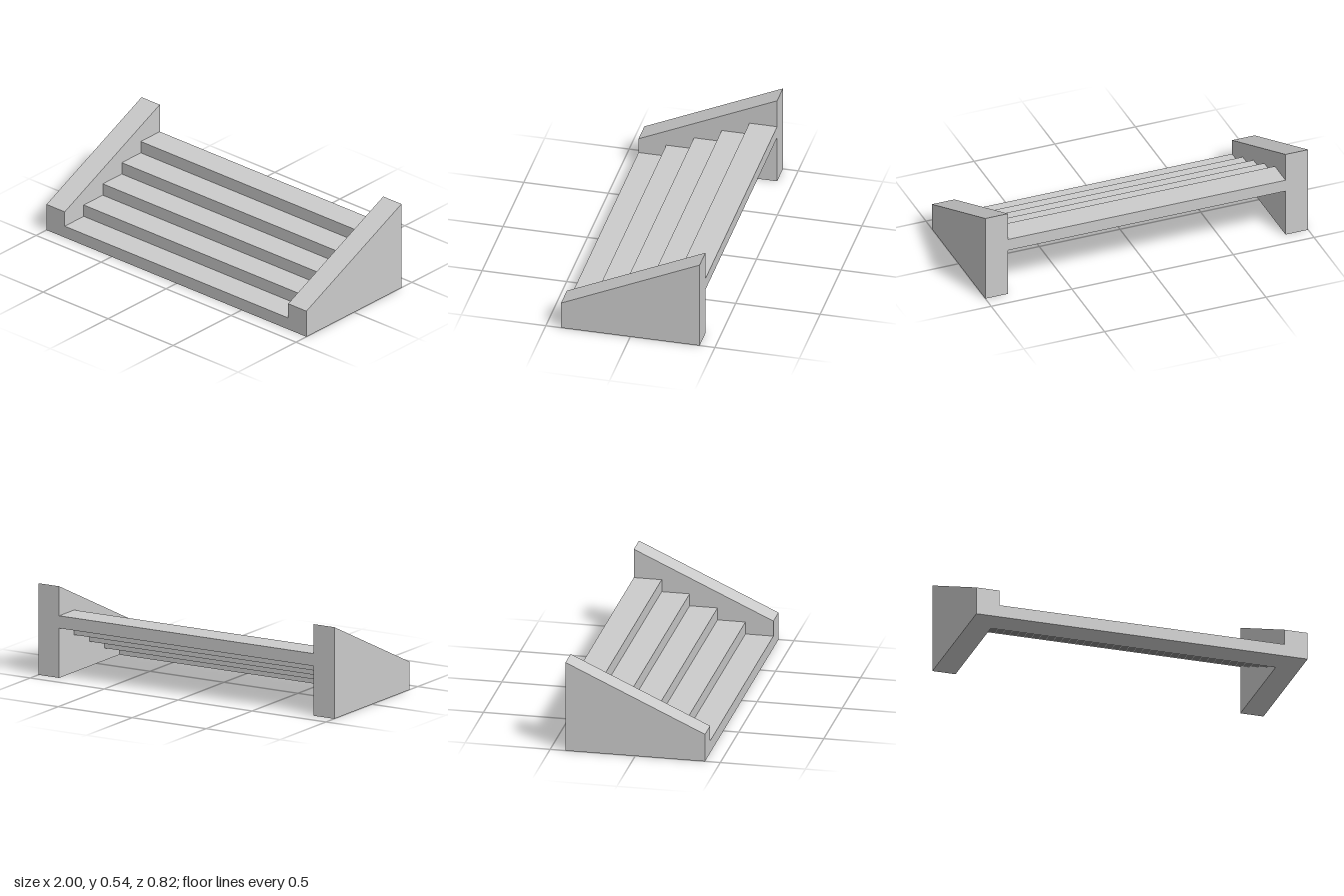
import * as THREE from 'three';

const material = new THREE.MeshStandardMaterial({ color: 0xcccccc, flatShading: true });

const STEPS = 5;
const RISE = 0.0735;
const HALF_DEPTH = 0.41;
const TREAD = (2 * HALF_DEPTH) / STEPS;
const INNER = 0.86; // half width between the side walls
const WALL = 0.14;

export function createModel() {
  const group = new THREE.Group();
  group.name = 'stairs';

  // Step slabs, each resting edge to edge on the one below, open underneath
  const stepGeometry = new THREE.BoxGeometry(2 * INNER, RISE, TREAD);
  for (let i = 0; i < STEPS; i++) {
    const step = new THREE.Mesh(stepGeometry, material);
    step.name = `step${i + 1}`;
    step.position.set(0, (i + 0.5) * RISE, HALF_DEPTH - (i + 0.5) * TREAD);
    group.add(step);
  }

  // Side walls with a sloping top; shape x runs toward the back
  const profile = new THREE.Shape([
    new THREE.Vector2(-HALF_DEPTH, 0),
    new THREE.Vector2(HALF_DEPTH, 0),
    new THREE.Vector2(HALF_DEPTH, 0.542),
    new THREE.Vector2(-HALF_DEPTH, 0.166),
  ]);
  const wallGeometry = new THREE.ExtrudeGeometry(profile, { depth: WALL, bevelEnabled: false });
  wallGeometry.rotateY(Math.PI / 2);
  for (const [name, x] of [['leftWall', INNER], ['rightWall', -INNER - WALL]]) {
    const wall = new THREE.Mesh(wallGeometry, material);
    wall.name = name;
    wall.position.x = x;
    group.add(wall);
  }

  return group;
}
